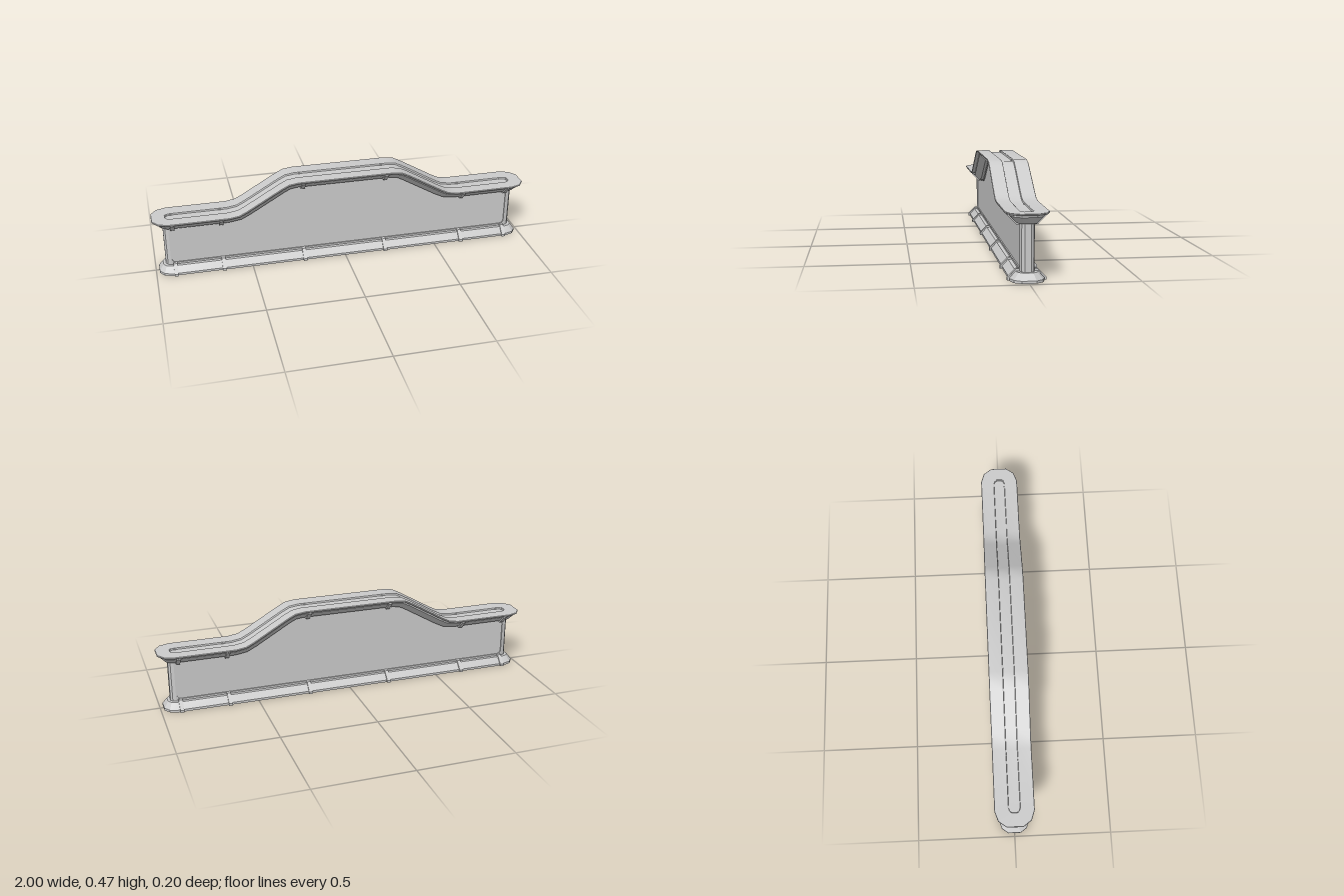
import * as THREE from 'three';
import { toCreasedNormals } from 'three/addons/utils/BufferGeometryUtils.js';

const END = 0.92; // x where the rounded ends begin
const material = new THREE.MeshStandardMaterial({ color: 0xcccccc });

// Right half of the humped top line, mirrored into a full line from -x to +x
const half = [[0.25, 0.47], [0.3, 0.463], [0.34, 0.443], [0.52, 0.338], [0.56, 0.318], [0.61, 0.31]];
const hump = [...half.map(([x, y]) => [-x, y]).reverse(), ...half];
const flat = hump.map(([x]) => [x, 0]);

// Line moved down by d, square to its own direction
function lower(line, d) {
  return line.map(([x, y], i) => {
    const a = i > 0 ? line[i - 1] : [x - 1, y];
    const b = i < line.length - 1 ? line[i + 1] : [x + 1, y];
    const u = new THREE.Vector2(x - a[0], y - a[1]).normalize();
    const v = new THREE.Vector2(b[0] - x, b[1] - y).normalize();
    const t = u.clone().add(v).normalize();
    const k = d / t.dot(u);
    return [x + t.y * k, y - t.x * k];
  });
}

// Faceted rounding of one end for half width w: [x, z]
const endPoints = (w, x0 = END) => [[x0, w], [x0 + 0.5 * w, 0.83 * w], [x0 + 0.8 * w, 0.42 * w]];

// Closed long-oval ring following a line, at half width w and depth d
function ring(line, [w, d, x0]) {
  const mid = lower(line, d);
  const y = mid[0][1];
  const end = endPoints(w, x0);
  const front = [
    ...end.map(([x, z]) => [-x, y, z]).reverse(),
    ...mid.map(([x, h]) => [x, h, w]),
    ...end.map(([x, z]) => [x, y, z]),
  ];
  return [...front, ...front.map(([x, h, z]) => [x, h, -z]).reverse()];
}

// Skin over rings, ordered from the underside outward, up and inward
function loft(line, layers) {
  const rings = layers.map((layer) => ring(line, layer));
  const n = rings[0].length;
  const index = [];
  for (let r = 0; r < rings.length - 1; r++) {
    for (let i = 0; i < n; i++) {
      const a = r * n + i, b = r * n + (i + 1) % n;
      index.push(a, b, b + n, a, b + n, a + n);
    }
  }
  const g = new THREE.BufferGeometry();
  g.setAttribute('position', new THREE.Float32BufferAttribute(rings.flat(2), 3));
  g.setIndex(index);
  return toCreasedNormals(g, 0.4);
}

const shapeOf = (points) => new THREE.Shape(points.map(([x, y]) => new THREE.Vector2(x, y)));

// Wall outline below the hump line, with corners rounded by r
function wallOutline(d, bottom, endX, r) {
  const line = lower(hump, d);
  const top = line[0][1];
  const s = new THREE.Shape();
  s.moveTo(-endX + r, bottom);
  s.lineTo(endX - r, bottom);
  s.quadraticCurveTo(endX, bottom, endX, bottom + r);
  s.lineTo(endX, top - r);
  s.quadraticCurveTo(endX, top, endX - r, top);
  [...line].reverse().forEach(([x, y]) => s.lineTo(x, y));
  s.lineTo(-endX + r, top);
  s.quadraticCurveTo(-endX, top, -endX, top - r);
  s.lineTo(-endX, bottom + r);
  s.quadraticCurveTo(-endX, bottom, -endX + r, bottom);
  return s;
}

function extrude(shape, depth) {
  return new THREE.ExtrudeGeometry(shape, { depth, bevelEnabled: false, curveSegments: 5 })
    .translate(0, 0, -depth / 2);
}

export function createModel() {
  const model = new THREE.Group();
  const add = (name, geometry, parent = model) => {
    const mesh = new THREE.Mesh(geometry, material);
    mesh.name = name;
    parent.add(mesh);
    return mesh;
  };

  // Sloped foot along the ground
  add('base', loft(flat, [[0, 0], [0.078, 0], [0.078, -0.012], [0.05, -0.043], [0.028, -0.043], [0, -0.043]]));

  // Coping: sloped support, thin flange and a shallow channel on top
  add('coping', loft(hump, [
    [0.02, 0.05], [0.047, 0.05], [0.08, 0.018], [0.08, 0.008], [0.098, 0.008], [0.1, 0.006], [0.1, 0.002],
    [0.098, 0], [0.033, 0, 0.905], [0.03, 0.002, 0.905], [0.028, 0.01, 0.905], [0, 0.01, 0.905],
  ]));

  // Wall: raised rim around a recessed panel
  const rim = wallOutline(0.03, 0.03, END, 0.001);
  rim.holes.push(wallOutline(0.057, 0.053, 0.915, 0.025));
  add('wallRim', extrude(rim, 0.066));
  add('wallPanel', extrude(wallOutline(0.035, 0.035, 0.918, 0.001), 0.054));

  // Faceted posts closing both ends of the wall
  const end = endPoints(0.033);
  const plan = shapeOf([...end, ...end.map(([x, z]) => [x, -z]).reverse()]);
  for (const side of [1, -1]) {
    const post = add(side > 0 ? 'leftEndPost' : 'rightEndPost', extrude(plan, 0.24).rotateX(Math.PI / 2));
    post.position.y = 0.155;
    if (side < 0) post.rotation.y = Math.PI;
  }

  // Narrow ribs clasping the foot and the coping on both faces
  const profile = [[0.025, 0.002], [0.088, 0.002], [0.088, 0.014], [0.048, 0.055], [0.025, 0.055]];
  const footRib = extrude(shapeOf(profile.map(([z, y]) => [z, y - 0.002])), 0.02);
  const copingRib = extrude(shapeOf(profile.map(([z, y]) => [z, -y])), 0.02);
  const ribs = new THREE.Group();
  ribs.name = 'ribs';
  model.add(ribs);
  for (const x of [-0.9, -0.65, -0.22, 0.22, 0.65, 0.9]) {
    for (const turn of [-Math.PI / 2, Math.PI / 2]) {
      const foot = add('footRib', footRib, ribs);
      foot.position.set(x, 0, 0);
      foot.rotation.y = turn;
      const top = add('copingRib', copingRib, ribs);
      top.position.set(x, (Math.abs(x) < 0.25 ? 0.47 : 0.31) - 0.005, 0);
      top.rotation.y = turn;
    }
  }
  return model;
}
